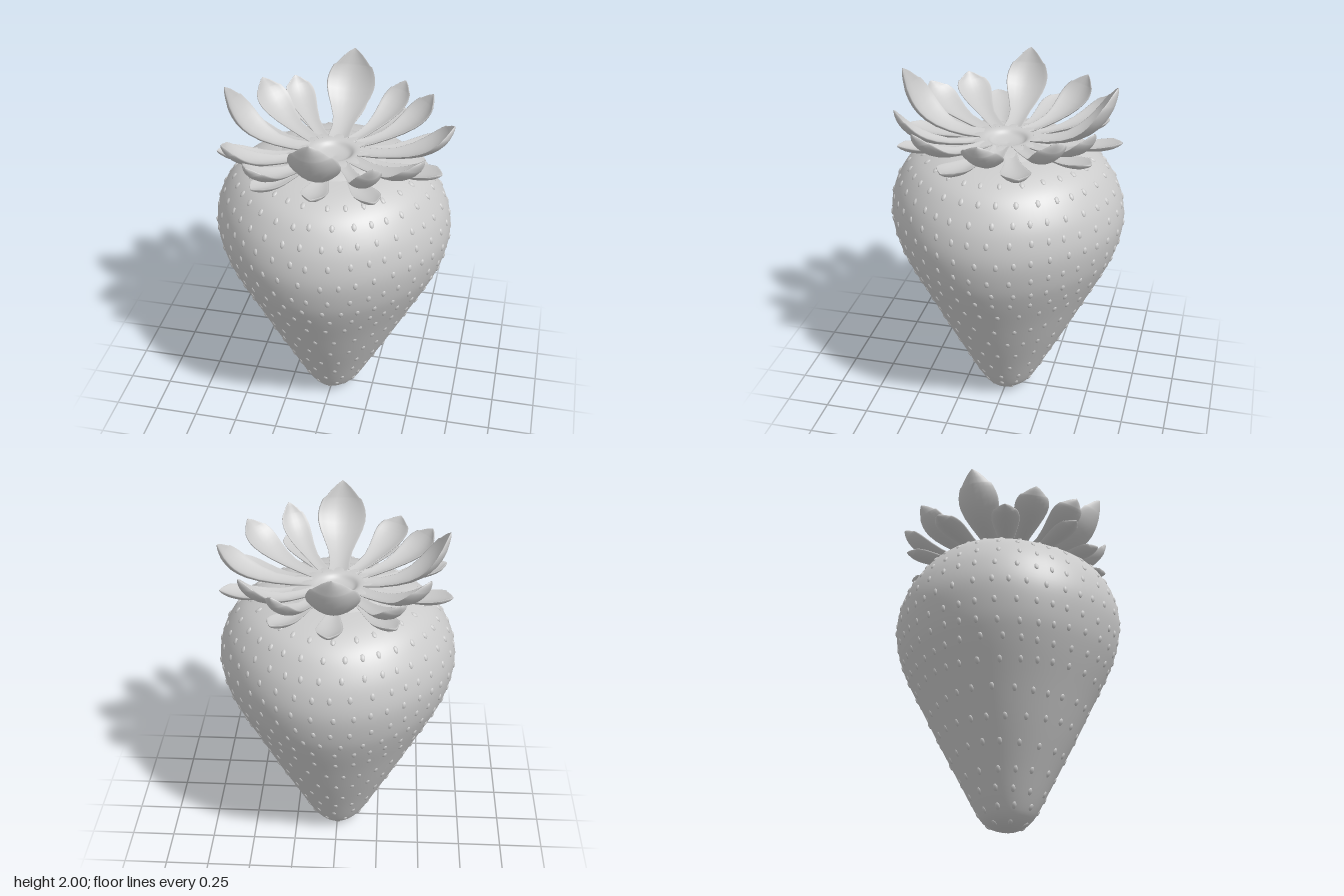
import * as THREE from 'three';
import { mergeGeometries } from 'three/addons/utils/BufferGeometryUtils.js';

const vec2s = (pairs) => pairs.map(([x, y]) => new THREE.Vector2(x, y));

// Fruit outline from the tip up to the dimple under the crown
const outline = new THREE.SplineCurve(vec2s([
  [0, 0.005], [0.07, 0.015], [0.13, 0.05], [0.18, 0.12], [0.275, 0.3], [0.38, 0.5],
  [0.48, 0.7], [0.58, 0.9], [0.635, 1.04], [0.664, 1.2], [0.645, 1.34], [0.595, 1.45],
  [0.525, 1.535], [0.42, 1.595], [0.3, 1.625], [0.2, 1.63], [0.1, 1.6], [0, 1.585],
])).getPoints(90);

// Half-width of a leaf along its length, with a small tooth near the tip
const leafWidth = [
  [0, 0.42], [0.12, 0.42], [0.25, 0.5], [0.38, 0.7], [0.5, 0.88], [0.6, 0.98], [0.68, 1],
  [0.75, 0.96], [0.81, 0.88], [0.85, 0.8], [0.865, 0.7], [0.91, 0.53], [0.95, 0.36], [0.98, 0.18], [1, 0.015],
];

// Leaves: tip x, tip z, tip height, half-width
const leaves = [
  // upright
  [0, -0.6, 1.99, 0.14], [0, 0.59, 2, 0.138], [0.65, 0, 1.87, 0.11], [-0.6, 0, 1.97, 0.12],
  // slanted
  [0.31, -0.53, 1.85, 0.085], [0.49, -0.37, 1.86, 0.095], [0.53, 0.37, 1.85, 0.1], [0.31, 0.54, 1.88, 0.08],
  [-0.34, 0.54, 1.81, 0.1], [-0.52, 0.36, 1.82, 0.1], [-0.49, -0.36, 1.87, 0.105], [-0.34, -0.53, 1.82, 0.085],
  // low
  [0.62, -0.2, 1.7, 0.08], [0.62, 0.2, 1.69, 0.08], [-0.6, 0.2, 1.69, 0.08], [-0.62, -0.2, 1.69, 0.08],
  [0.02, -0.64, 1.69, 0.07], [0, 0.57, 1.68, 0.07],
  [0.32, 0.53, 1.68, 0.07], [-0.32, 0.53, 1.68, 0.07], [0.32, -0.52, 1.68, 0.07], [-0.32, -0.52, 1.68, 0.07],
];

// The fruit is slightly narrower across its diagonals
function narrowDiagonals(geo) {
  const pos = geo.attributes.position;
  for (let i = 0; i < pos.count; i++) {
    const x = pos.getX(i), z = pos.getZ(i);
    const k = 1 - 0.05 * Math.sin(2 * Math.atan2(z, x)) ** 2;
    pos.setX(i, x * k).setZ(i, z * k);
  }
  return geo;
}

// Shallow seed bumps in staggered rings, each tilted to the fruit's surface
function seedGeometry() {
  const seeds = [];
  const rows = [0.03, 0.1, 0.18, 0.28, 0.4, 0.53, 0.66, 0.8, 0.9, 0.99, 1.09, 1.2, 1.31, 1.41, 1.5, 1.57];
  const base = new THREE.SphereGeometry(1, 10, 8);
  rows.forEach((y, row) => {
    const i = outline.findIndex((p) => p.y >= y);
    const a = outline[i - 1], b = outline[i];
    const r = a.x + (b.x - a.x) * (y - a.y) / (b.y - a.y);
    const tilt = Math.atan2(b.x - a.x, b.y - a.y);
    const count = Math.max(5, Math.round(2 * Math.PI * r / 0.108));
    for (let k = 0; k < count; k++) {
      const turn = (k + (row % 2) / 2 + 0.12 * Math.sin(k * 5 + row * 3)) * 2 * Math.PI / count;
      seeds.push(base.clone()
        .scale(0.014, 0.021, 0.009)
        .translate(0, 0.008 * Math.sin(k * 7 + row), -0.002)
        .rotateX(tilt)
        .translate(0, y, r)
        .rotateY(turn));
    }
  });
  return mergeGeometries(seeds);
}

// Cupped leaf: a thin lens section swept along a rising curve towards +x
function leafGeometry(reach, tipY, width) {
  const low = tipY < 1.75;
  const rise = new THREE.QuadraticBezierCurve(
    new THREE.Vector2(0.14, 1.642),
    new THREE.Vector2(reach * (low ? 0.8 : 0.92), low ? 1.6 : 1.64),
    new THREE.Vector2(reach, tipY));
  const across = 20;
  const geo = new THREE.PlaneGeometry(1, 1, across, leafWidth.length - 1);
  const pos = geo.attributes.position;
  for (let i = 0; i < pos.count; i++) {
    const [t, w] = leafWidth[leafWidth.length - 1 - Math.floor(i / (across + 1))];
    const a = (i % (across + 1)) / across * 2 * Math.PI;
    const half = width * w, s = Math.cos(a);
    const lift = 0.4 * half * s * s - 0.012 * Math.sqrt(w) * Math.sin(a);
    const p = rise.getPoint(t), d = rise.getTangent(t);
    pos.setXYZ(i, p.x - d.y * lift, p.y + d.x * lift, half * s);
  }
  geo.computeVertexNormals();
  return geo;
}

export function createModel() {
  const model = new THREE.Group();
  model.name = 'strawberry';
  const material = new THREE.MeshStandardMaterial({ color: 0xcccccc });
  const thin = new THREE.MeshStandardMaterial({ color: 0xcccccc, side: THREE.DoubleSide });
  const add = (name, geometry, mat, parent = model) => {
    const mesh = new THREE.Mesh(geometry, mat);
    mesh.name = name;
    parent.add(mesh);
    return mesh;
  };

  add('fruit', narrowDiagonals(new THREE.LatheGeometry(outline, 72)), material);
  add('seeds', narrowDiagonals(seedGeometry()), material);

  // Leafy crown around a dished centre
  const crown = new THREE.Group();
  crown.name = 'crown';
  model.add(crown);
  const dish = new THREE.SplineCurve(vec2s([
    [0.29, 1.628], [0.25, 1.643], [0.2, 1.651], [0.15, 1.655], [0.115, 1.65], [0.08, 1.625], [0, 1.612],
  ])).getPoints(30);
  add('crownDish', new THREE.LatheGeometry(dish, 48), thin, crown);
  for (const [x, z, y, width] of leaves) {
    add('leaf', leafGeometry(Math.hypot(x, z), y, width), thin, crown).rotation.y = -Math.atan2(z, x);
  }
  return model;
}
